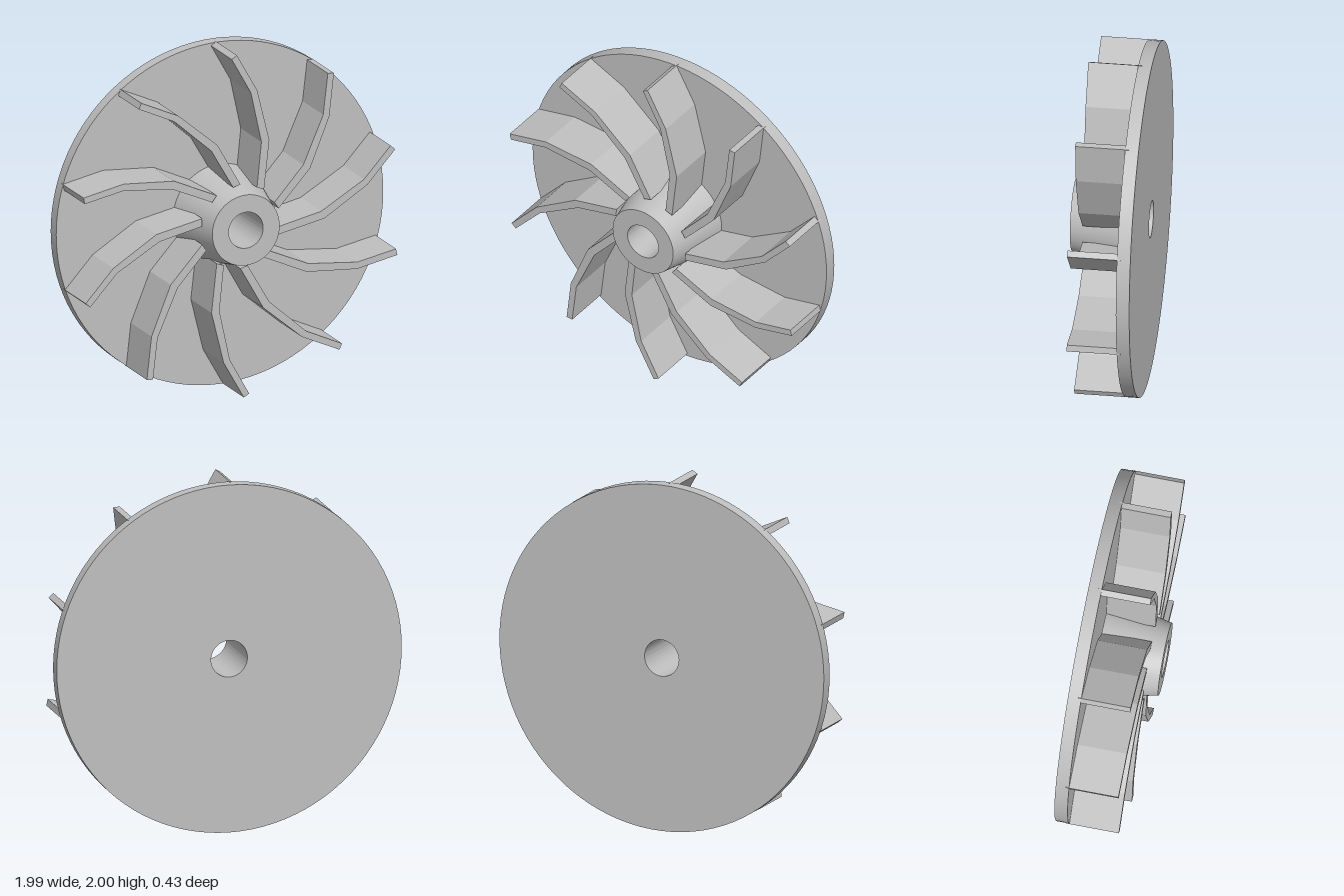
import * as THREE from 'three';
import { toCreasedNormals } from 'three/addons/utils/BufferGeometryUtils.js';

const BLADES = 10;
const BORE = 0.105;

// Closed ring profile [radius, z] turned around the z axis
function turned(profile, material, name) {
  const points = [...profile, profile[0]].map(([r, z]) => new THREE.Vector2(r, z));
  const geometry = new THREE.LatheGeometry(points, 96);
  geometry.rotateX(Math.PI / 2);
  const mesh = new THREE.Mesh(toCreasedNormals(geometry, Math.PI / 6), material);
  mesh.name = name;
  return mesh;
}

export function createModel() {
  const model = new THREE.Group();
  model.name = 'impeller';
  const metal = new THREE.MeshStandardMaterial({ color: 0xbfbfbf });
  metal.name = 'grey metal';

  const rotor = new THREE.Group();
  rotor.name = 'rotor';
  rotor.position.y = 1;
  model.add(rotor);

  // Back plate and tapered hub share one bored body
  rotor.add(turned([
    [BORE, -0.215], [0.996, -0.215], [0.996, -0.14],
    [0.285, -0.14], [0.205, 0.215], [BORE, 0.215],
  ], metal, 'backPlateAndHub'));

  // Bent blade outline, extruded forward from just inside the plate
  const outline = [
    [0.144, 0.198], [0.176, 0.481], [0.102, 0.781], [-0.021, 0.998],
    [-0.053, 0.979], [0.064, 0.77], [0.128, 0.476], [0.101, 0.214],
  ];
  const shape = new THREE.Shape(outline.map(([x, y]) => new THREE.Vector2(x, y)));
  const bladeGeometry = new THREE.ExtrudeGeometry(shape, { depth: 0.3, bevelEnabled: false });
  bladeGeometry.translate(0, 0, -0.16);

  for (let i = 0; i < BLADES; i++) {
    const blade = new THREE.Mesh(bladeGeometry, metal);
    blade.name = `blade${i + 1}`;
    blade.rotation.z = (-i * 2 * Math.PI) / BLADES;
    rotor.add(blade);
  }

  return model;
}
